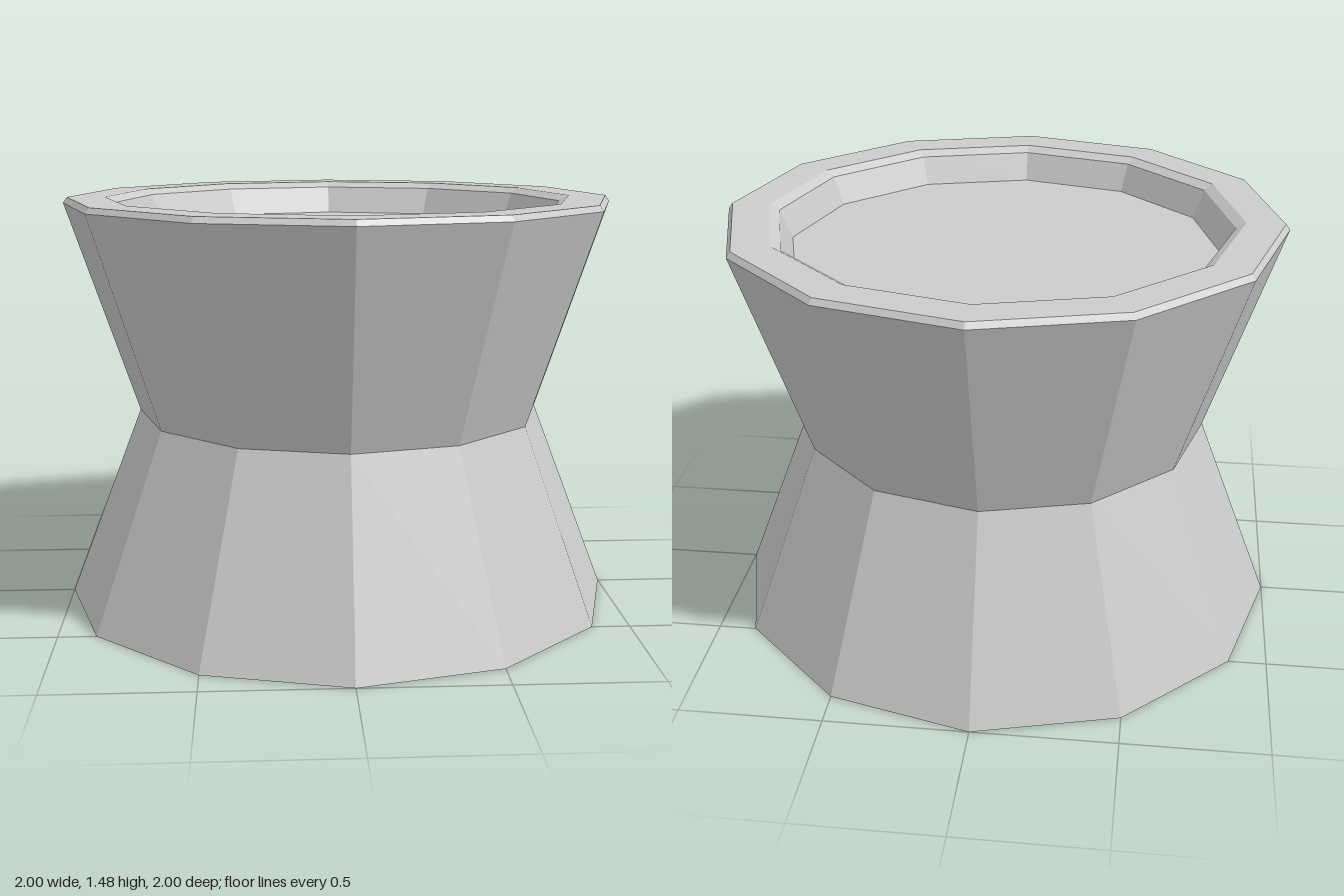
import * as THREE from 'three';

const SIDES = 12;

// Faceted ring of revolution from [radius, height] pairs, outside running upwards
function faceted(name, profile) {
  const points = profile.map(([r, y]) => new THREE.Vector2(r, y));
  const material = new THREE.MeshStandardMaterial({ color: 0xcccccc, flatShading: true });
  const mesh = new THREE.Mesh(new THREE.LatheGeometry(points, SIDES), material);
  mesh.name = name;
  return mesh;
}

export function createModel() {
  const group = new THREE.Group();
  group.name = 'pedestal';

  // Closed base tapering up to the waist
  group.add(faceted('base', [[0, 0], [1, 0], [0.733, 0.695]]));

  // Flared bowl with a thin bevelled edge
  group.add(faceted('bowl', [[0.733, 0.695], [0.99, 1.455], [0.975, 1.475]]));

  // Flat rim, inner bevel and sloping wall
  group.add(faceted('rim', [[0.975, 1.475], [0.84, 1.475], [0.806, 1.455], [0.763, 1.355]]));

  // Shallow recessed floor
  group.add(faceted('recessFloor', [[0.763, 1.355], [0, 1.355]]));

  return group;
}
